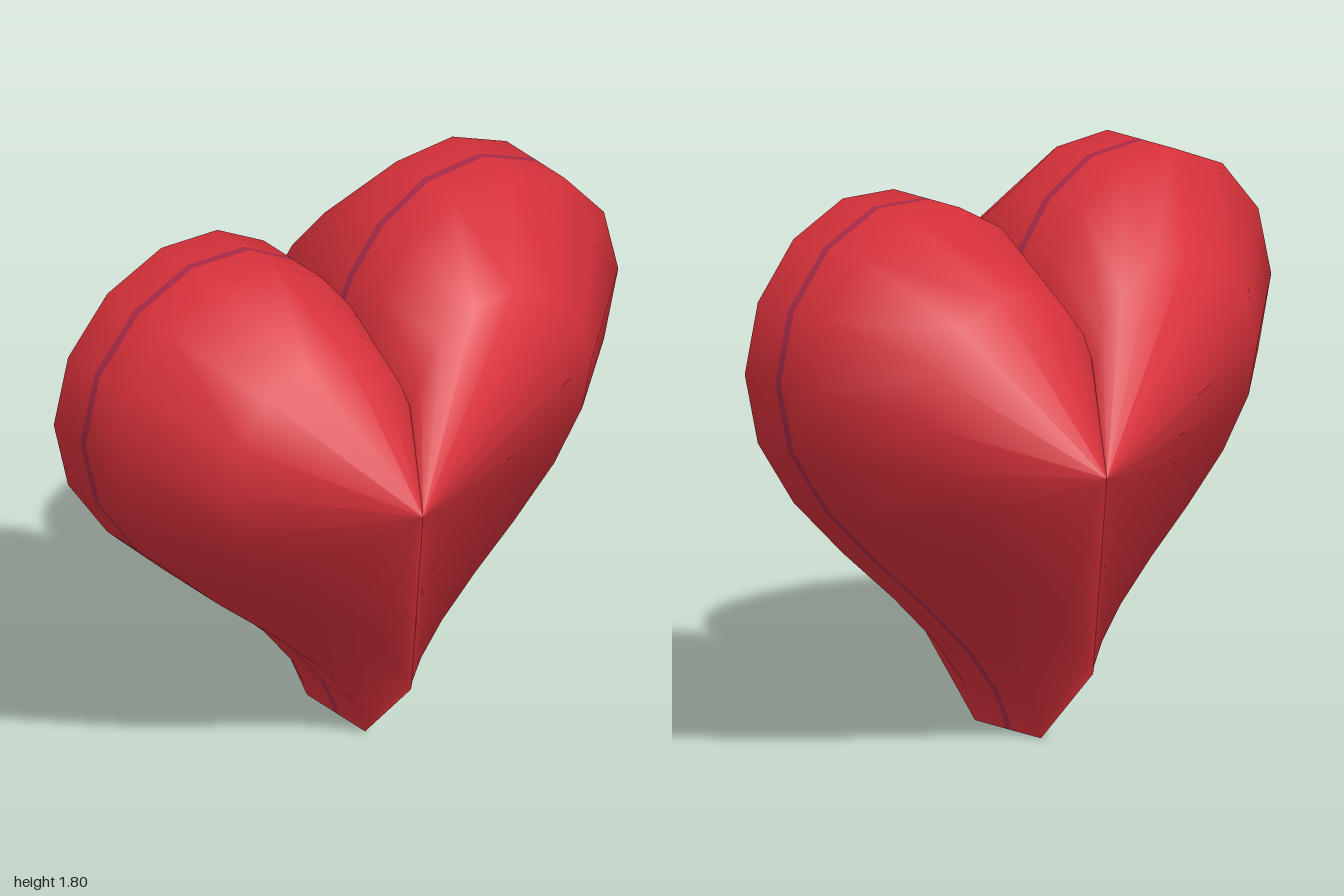
import * as THREE from 'three';

const SEGMENTS = 16;      // steps down one half of the heart outline
const CENTRE_Y = 0.9;     // rings shrink towards this height

// Right half of the heart outline, from the notch (t = 0) to the tip (t = PI)
function outline(t) {
  const y = 13 * Math.cos(t) - 5 * Math.cos(2 * t) - 2 * Math.cos(3 * t) - Math.cos(4 * t);
  return new THREE.Vector2(Math.sin(t) ** 3, (y + 17) / 16);
}

// Outward direction of the outline, one-sided at the notch and the tip
function outward(t) {
  const a = outline(Math.max(0, t - 0.1));
  const b = outline(Math.min(Math.PI, t + 0.1));
  const d = b.sub(a).normalize();
  return new THREE.Vector2(-d.y, d.x);
}

// Skin one half through rings of { scale, z, nr, nz }, listed front to back;
// nr and nz are the outward and depth shares of the soft, pillowy normal
function halfSkin(rings, side) {
  const pos = [], nor = [], index = [];
  for (const ring of rings) {
    for (let j = 0; j <= SEGMENTS; j++) {
      const t = Math.PI * j / SEGMENTS;
      const p = outline(t), o = outward(t);
      pos.push(side * p.x * ring.scale, CENTRE_Y + (p.y - CENTRE_Y) * ring.scale, ring.z);
      const n = new THREE.Vector3(side * o.x * ring.nr, o.y * ring.nr, ring.nz).normalize();
      nor.push(n.x, n.y, n.z);
    }
  }
  const tri = (a, b, c) => (side > 0 ? index.push(a, b, c) : index.push(a, c, b));
  const row = SEGMENTS + 1;
  for (let i = 0; i < rings.length - 1; i++) {
    for (let j = 0; j < SEGMENTS; j++) {
      const a = i * row + j, b = a + 1, c = a + row, d = c + 1;
      if (rings[i].scale > 0) tri(a, b, c);
      if (rings[i + 1].scale > 0) tri(b, d, c);
    }
  }
  const geo = new THREE.BufferGeometry();
  geo.setAttribute('position', new THREE.Float32BufferAttribute(pos, 3));
  geo.setAttribute('normal', new THREE.Float32BufferAttribute(nor, 3));
  geo.setIndex(index);
  return geo;
}

export function createModel() {
  const red = new THREE.MeshStandardMaterial({ color: 0xd7313a });
  red.name = 'heart red';
  const plum = new THREE.MeshStandardMaterial({ color: 0xaa2a48 });
  plum.name = 'seam plum';

  // Front shell: peak, bevel, rim, edge of the seam
  const front = [
    { scale: 0, z: 0.443, nr: 0.53, nz: 0.85 },
    { scale: 0.717, z: 0.381, nr: 0.82, nz: 0.57 },
    { scale: 1, z: 0.148, nr: 0.98, nz: 0.2 },
    { scale: 1, z: 0.013, nr: 1, nz: 0.02 },
  ];
  const back = front.map((r) => ({ ...r, z: -r.z, nz: -r.nz })).reverse();
  // Thin seam round the middle of the rim
  const seam = [
    { scale: 1, z: 0.013, nr: 1, nz: 0 },
    { scale: 1, z: -0.013, nr: 1, nz: 0 },
  ];

  const heart = new THREE.Group();
  heart.name = 'heart';
  const parts = [['frontShell', front, red], ['backShell', back, red], ['seam', seam, plum]];
  for (const [name, rings, material] of parts) {
    for (const side of [1, -1]) {
      const mesh = new THREE.Mesh(halfSkin(rings, side), material);
      mesh.name = name + (side > 0 ? 'Left' : 'Right');
      heart.add(mesh);
    }
  }
  return heart;
}
